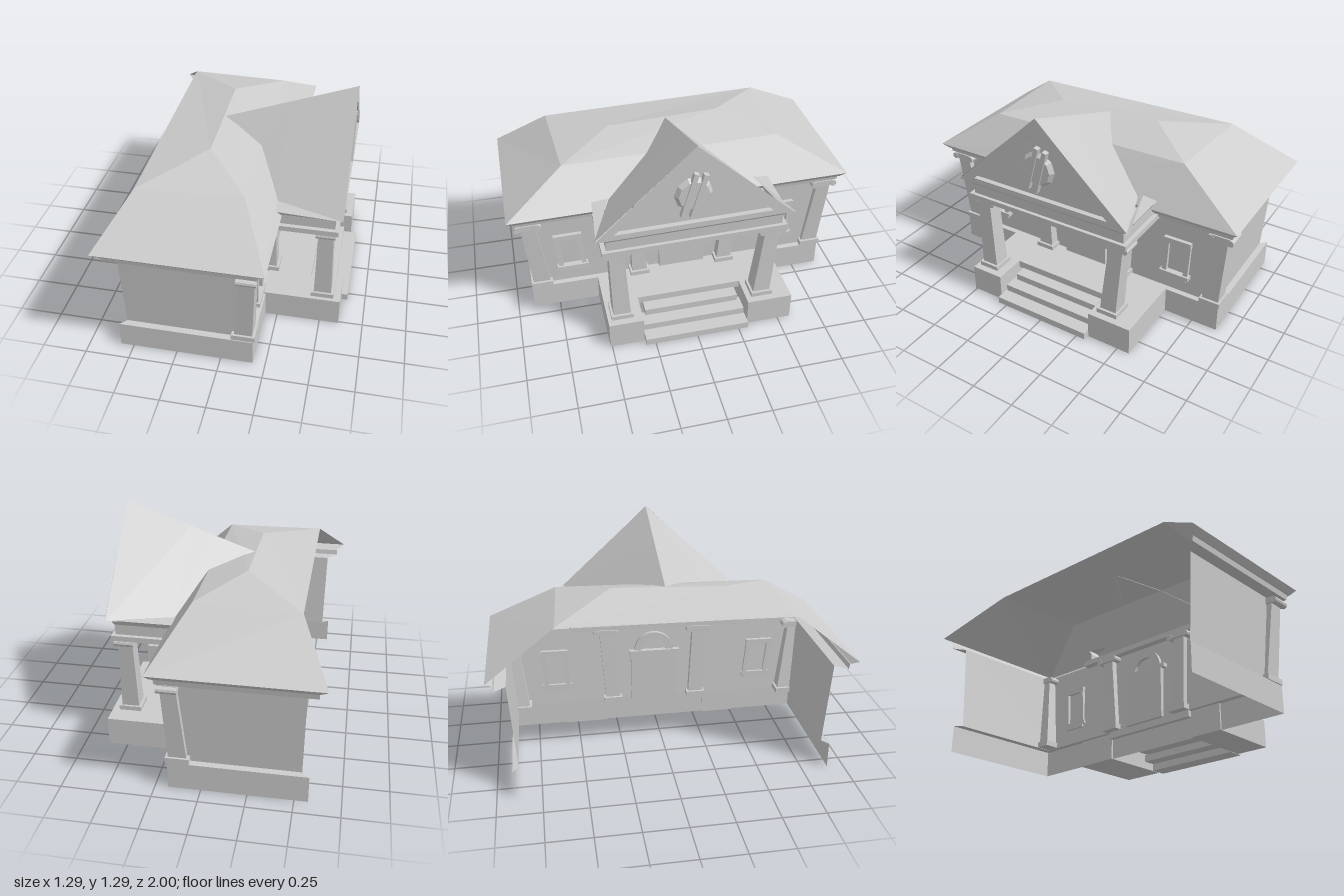
import * as THREE from 'three';

const material = new THREE.MeshStandardMaterial({ color: 0xcccccc, flatShading: true, side: THREE.DoubleSide });

// Skins a series of cross-sections (arrays of [x, y, z] points, same length).
function loft(rings, closed = false) {
  const pos = [];
  for (let r = 0; r < rings.length - 1; r++) {
    const a = rings[r], b = rings[r + 1], n = a.length;
    for (let i = 0; i < (closed ? n : n - 1); i++) {
      const j = (i + 1) % n;
      pos.push(...a[i], ...a[j], ...b[j], ...a[i], ...b[j], ...b[i]);
    }
  }
  const g = new THREE.BufferGeometry();
  g.setAttribute('position', new THREE.Float32BufferAttribute(pos, 3));
  g.computeVertexNormals();
  return g;
}

// Three-sided outline, open at the back.
const U = (xb, xf, z, y, zBack = z) => [[xb, y, zBack], [xf, y, z], [xf, y, -z], [xb, y, -zBack]];

// Box from limits, optionally with a shifted and scaled top.
function box(x0, x1, y0, y1, z0, z1, { dx = 0, dz = 0, taper = 1 } = {}) {
  const g = new THREE.BoxGeometry(x1 - x0, y1 - y0, z1 - z0);
  const p = g.attributes.position;
  for (let i = 0; i < p.count; i++) {
    if (p.getY(i) > 0) {
      p.setX(i, p.getX(i) * taper + dx);
      p.setZ(i, p.getZ(i) * taper + dz);
    }
  }
  g.translate((x0 + x1) / 2, (y0 + y1) / 2, (z0 + z1) / 2);
  g.computeVertexNormals();
  return g;
}

// Flat shape drawn across the front, pushed out along +x.
function frontPlate(shape, x, depth) {
  const g = new THREE.ExtrudeGeometry(shape, { depth, bevelEnabled: false, curveSegments: 8 });
  return g.rotateY(Math.PI / 2).translate(x, 0, 0);
}

export function createModel() {
  const model = new THREE.Group();
  model.name = 'porticoBuilding';

  // The whole building leans: heights shrink slightly towards +z.
  const add = (name, geometry, parent = model) => {
    const p = geometry.attributes.position;
    for (let i = 0; i < p.count; i++) p.setY(i, p.getY(i) * (1 - 0.02 * p.getZ(i)));
    geometry.computeVertexNormals();
    const mesh = new THREE.Mesh(geometry, material);
    mesh.name = name;
    parent.add(mesh);
  };
  const group = (name) => {
    const g = new THREE.Group();
    g.name = name;
    model.add(g);
    return g;
  };

  // Main hall, open at the back and underneath
  add('plinth', loft([U(-0.575, 0.18, 0.905, 0), U(-0.575, 0.18, 0.905, 0.155), U(-0.535, 0.15, 0.87, 0.158)]));
  add('walls', loft([U(-0.535, 0.15, 0.87, 0.158), U(-0.545, 0.165, 0.9, 0.655)]));
  add('cornice', loft([
    U(-0.545, 0.165, 0.9, 0.655), U(-0.605, 0.215, 0.96, 0.662), U(-0.605, 0.22, 0.965, 0.692),
    U(-0.605, 0.235, 0.97, 0.694), U(-0.65, 0.26, 1, 0.725),
  ]));

  // Hipped roof with a shallower crown
  const crown = [[-0.49, 0.945, 0.69], [0.09, 0.95, 0.66], [0.09, 0.955, -0.6], [-0.49, 0.95, -0.63]];
  const ridgeL = [-0.16, 1.015, 0.35], ridgeR = [-0.16, 1.03, -0.3];
  add('roofSlopes', loft([U(-0.65, 0.26, 1, 0.725), crown]));
  add('roofCrown', loft([crown, [ridgeL, ridgeL, ridgeR, ridgeR]], true));

  // Porch blocks, floor and steps
  add('porchBlockLeft', box(0.17, 0.61, 0, 0.165, 0.31, 0.51));
  add('porchBlockRight', box(0.17, 0.61, 0, 0.165, -0.575, -0.31));
  add('porchFloor', box(0.15, 0.42, 0.12, 0.165, -0.31, 0.31));
  [[0.645, 0.305], [0.565, 0.3], [0.49, 0.28]].forEach(([x, z], i) =>
    add('step', box(x - 0.1, x, i * 0.041, (i + 1) * 0.041, -z, z)));

  // Leaning square columns with scrolled capitals
  function column(name, x, z, leanX, leanZ, w = 0.1) {
    const g = group(name);
    const h = w / 2, tx = x + leanX, tz = z + leanZ;
    add('columnBase', box(x - h - 0.015, x + h + 0.015, 0.16, 0.192, z - h - 0.013, z + h + 0.013), g);
    add('shaft', box(x - h, x + h, 0.192, 0.62, z - h, z + h, { dx: leanX, dz: leanZ, taper: 0.84 }), g);
    add('capital', box(tx - 0.052, tx + 0.052, 0.615, 0.65, tz - 0.055, tz + 0.055), g);
    for (const s of [-1, 1]) {
      const scroll = new THREE.CylinderGeometry(0.02, 0.02, 0.11, 10).rotateZ(Math.PI / 2);
      add('scroll', scroll.translate(tx, 0.628, tz + s * 0.058), g);
    }
  }
  column('frontColumnLeft', 0.505, 0.425, 0, 0.015);
  column('frontColumnRight', 0.505, -0.405, 0, -0.04);
  column('backColumnLeft', 0.165, 0.255, 0, 0.015, 0.09);
  column('backColumnRight', 0.165, -0.275, 0, -0.035, 0.09);
  column('cornerPilasterLeft', 0.125, 0.842, 0.03, 0.045);
  column('cornerPilasterRight', 0.125, -0.85, 0.03, -0.04);

  // Framed windows with sills
  for (const [name, z, lean] of [['windowLeft', 0.65, 0.02], ['windowRight', -0.62, -0.01]]) {
    const g = group(name);
    for (const s of [-1, 1]) {
      const c = z + s * 0.067;
      add('windowJamb', box(0.14, 0.178, 0.29, 0.49, c - 0.014, c + 0.014, { dz: lean }), g);
    }
    add('windowHead', box(0.14, 0.184, 0.488, 0.52, z + lean - 0.083, z + lean + 0.083), g);
    add('windowSill', box(0.14, 0.19, 0.268, 0.292, z - 0.092, z + 0.092), g);
    add('sillApron', box(0.14, 0.183, 0.25, 0.268, z - 0.075, z + 0.075), g);
  }

  // Arched doorway
  const doorway = group('doorway');
  add('door', box(0.13, 0.175, 0.16, 0.47, -0.155, 0.125), doorway);
  add('impost', box(0.13, 0.19, 0.467, 0.492, -0.165, 0.15), doorway);
  const arch = new THREE.Shape();
  arch.absarc(0.01, 0.49, 0.12, 0, Math.PI, false);
  arch.absarc(0.01, 0.49, 0.078, Math.PI, 0, true);
  add('arch', frontPlate(arch, 0.14, 0.045), doorway);

  // Portico beam and eaves
  add('porticoSlab', box(0.12, 0.573, 0.645, 0.676, -0.52, 0.52));
  add('porticoBeam', loft([
    U(0.16, 0.553, 0.495, 0.676), U(0.16, 0.555, 0.495, 0.735), U(0.16, 0.573, 0.515, 0.767),
    U(0.2, 0.595, 0.55, 0.775, 0.42),
  ]));

  // Portico roof running back into the main roof
  const ridge = [[0.595, 1.29, 0.01], [0.22, 1.155, 0.01], [0.09, 1.108, 0.01], [-0.155, 1.02, 0.01]];
  add('porticoRoofLeft', loft([
    [[0.595, 0.783, 0.56], [0.22, 0.77, 0.42], [0.09, 0.945, 0.18], [-0.155, 1.02, 0.01]].reverse(),
    [...ridge].reverse(),
  ]));
  add('porticoRoofRight', loft([
    [[0.595, 0.767, -0.54], [0.235, 0.76, -0.4], [0.09, 0.95, -0.15], [-0.155, 1.02, 0.01]],
    ridge,
  ]));

  // Pediment with a recessed panel
  const triangle = (x, zl, yb, yt, zr) => [[x, yb, zl], [x, yb, zr], [x, yt, 0.013]];
  add('pediment', loft([
    triangle(0.595, 0.56, 0.775, 1.29, -0.54),
    triangle(0.595, 0.455, 0.808, 1.215, -0.42),
    triangle(0.565, 0.455, 0.808, 1.215, -0.42),
    triangle(0.565, 0.013, 0.95, 0.95, 0.013),
  ], true));

  // Round ornament crossed by two slanted bars
  const ornament = group('pedimentOrnament');
  const disc = new THREE.CylinderGeometry(0.085, 0.105, 0.025, 10).rotateZ(-Math.PI / 2);
  add('disc', disc.translate(0.577, 0.98, 0.022), ornament);
  for (const s of [-1, 1]) {
    const bar = new THREE.BoxGeometry(0.03, 0.27, 0.027);
    add('bar', bar.rotateX(-0.27).translate(0.583, 0.98 + s * 0.006, 0.022 + s * 0.026), ornament);
  }

  return model;
}
